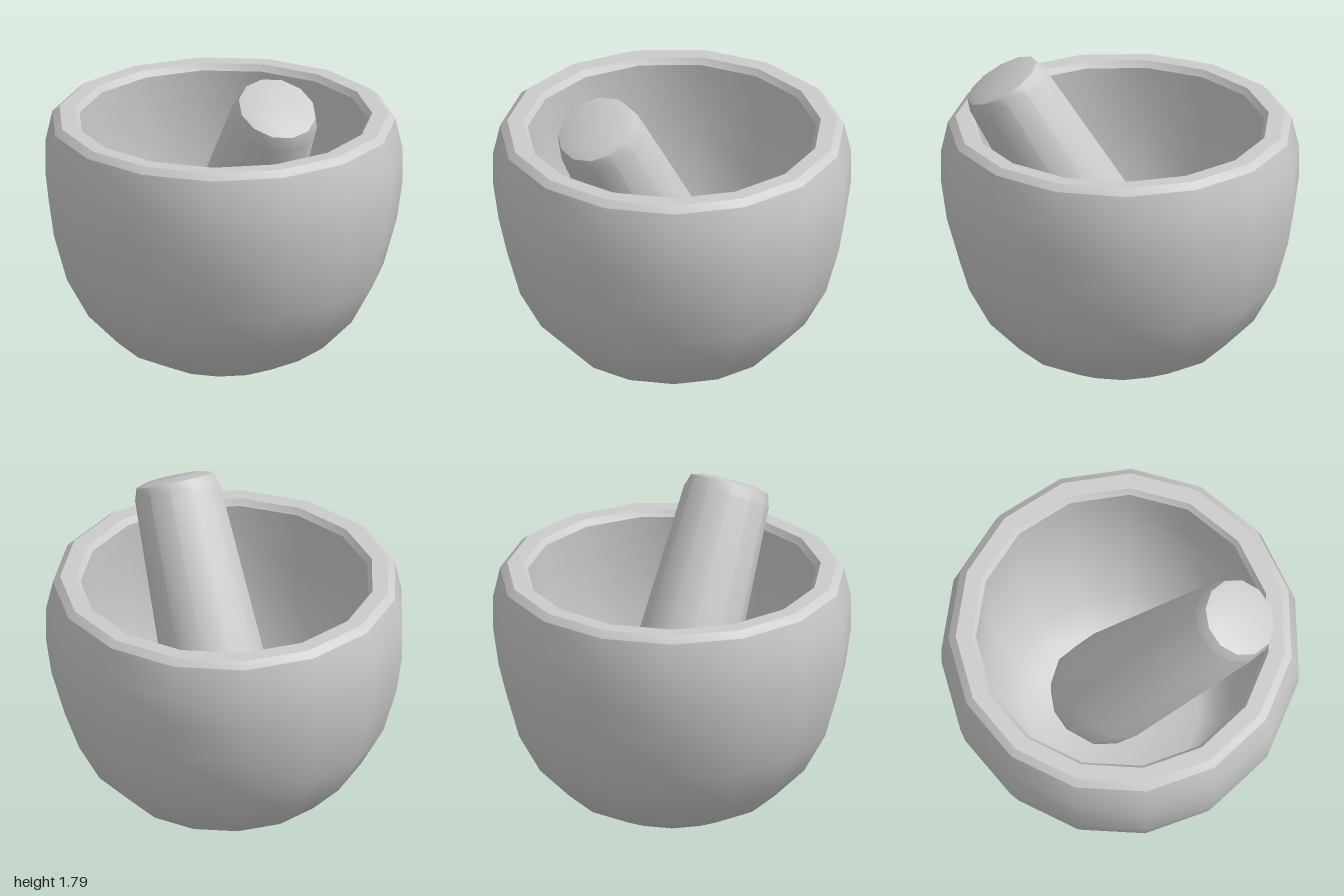
import * as THREE from 'three';
import { toCreasedNormals } from 'three/addons/utils/BufferGeometryUtils.js';

// Double-sided because the foot of the bowl is open underneath
const material = new THREE.MeshStandardMaterial({ color: 0xcccccc, side: THREE.DoubleSide });

// Turned shape with smooth sides and sharp rims; profile is [radius, height]
function turned(name, profile, sides, phiStart) {
  const points = profile.map(([r, y]) => new THREE.Vector2(r, y));
  const lathe = new THREE.LatheGeometry(points, sides, phiStart);
  const mesh = new THREE.Mesh(toCreasedNormals(lathe, 0.56), material);
  mesh.name = name;
  return mesh;
}

export function createModel() {
  const group = new THREE.Group();
  group.name = 'mortarAndPestle';

  // Bowl: open foot, outer wall, bevelled rim, inner wall and raised floor
  const bowl = turned('mortarBowl', [
    [0.38, 0], [0.6, 0.11], [0.775, 0.29], [0.9, 0.52], [0.975, 0.79],
    [1.006, 1.01], [1.006, 1.21], [0.967, 1.385], [0.927, 1.42],
    [0.837, 1.42], [0.812, 1.385],
    [0.815, 1.2], [0.815, 1.01], [0.79, 0.79], [0.73, 0.52],
    [0.63, 0.29], [0.54, 0.16], [0.44, 0.1], [0, 0.1],
  ], 15, Math.PI / 2);
  bowl.position.x = -0.011;
  group.add(bowl);

  // Pestle: heavy rounded head below, tapering up to a bevelled handle end
  const pestle = turned('pestle', [
    [0, -1.72], [0.23, -1.72], [0.297, -1.6], [0.31, -1.4],
    [0.245, -0.07], [0.222, 0], [0.155, 0.02], [0, 0.02],
  ], 12, 0);
  pestle.position.set(0, 1.68, 0.665);
  pestle.rotation.x = Math.PI / 6;
  group.add(pestle);

  return group;
}
